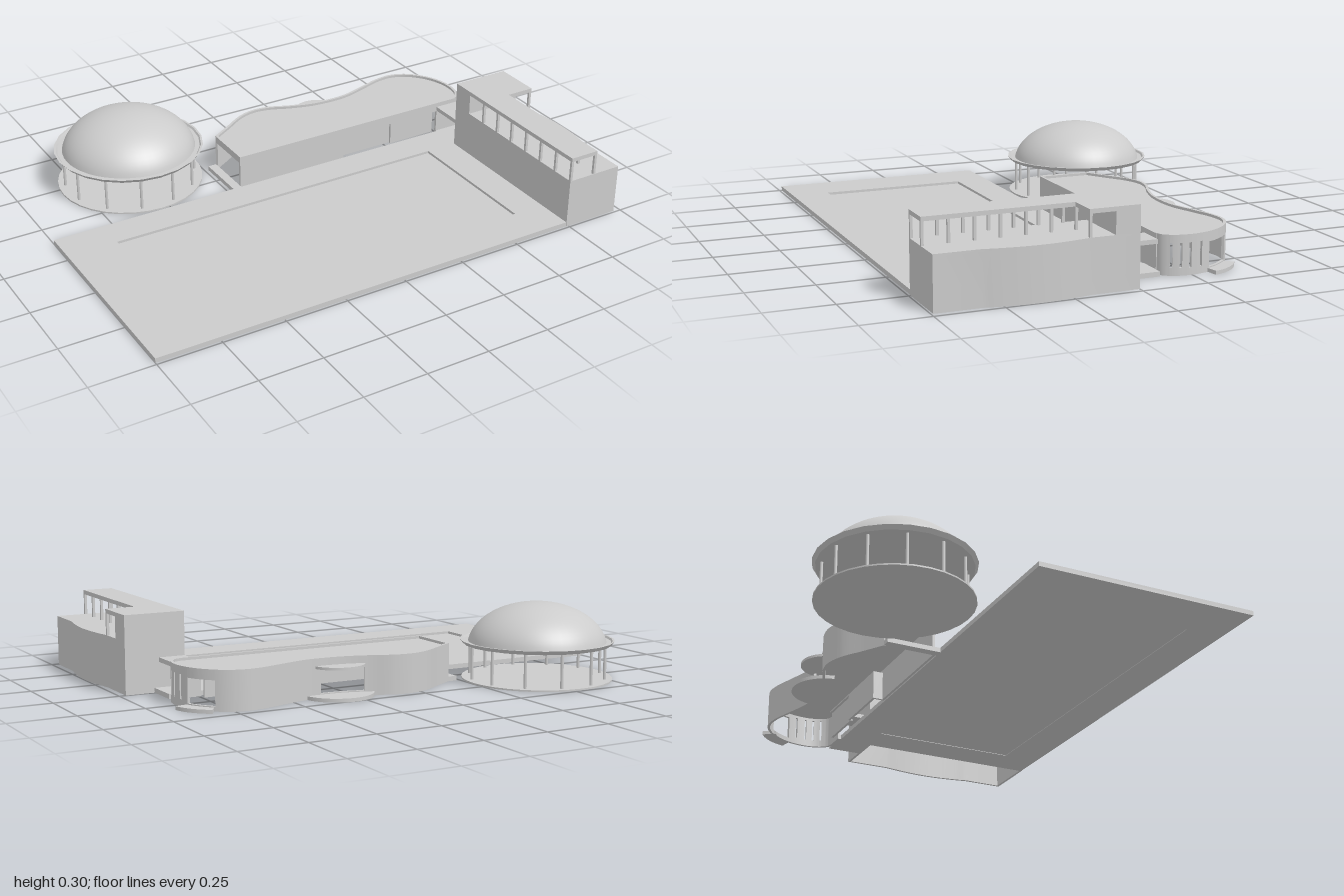
import * as THREE from 'three';
import { toCreasedNormals } from 'three/addons/utils/BufferGeometryUtils.js';

const mat = new THREE.MeshStandardMaterial({ color: 0xcccccc, side: THREE.DoubleSide });

function add(parent, name, geo, x = 0, y = 0, z = 0) {
  const m = new THREE.Mesh(geo, mat);
  m.name = name;
  m.position.set(x, y, z);
  parent.add(m);
  return m;
}

// Box given by its limits
function box(parent, name, x0, x1, y0, y1, z0, z1) {
  return add(parent, name, new THREE.BoxGeometry(x1 - x0, y1 - y0, z1 - z0),
    (x0 + x1) / 2, (y0 + y1) / 2, (z0 + z1) / 2);
}

// Floor plan of [x, z] points raised from y0 to y1
const plan = pts => pts.map(([x, z]) => new THREE.Vector2(x, -z));
function slab(parent, name, pts, y0, y1, hole) {
  const shape = new THREE.Shape(plan(pts));
  if (hole) shape.holes.push(new THREE.Path(plan(hole)));
  const geo = new THREE.ExtrudeGeometry(shape, { depth: y1 - y0, bevelEnabled: false });
  geo.rotateX(-Math.PI / 2);
  return add(parent, name, toCreasedNormals(geo, 0.5), 0, y0, 0);
}
const rect = (x0, x1, z0, z1) => [[x0, z0], [x1, z0], [x1, z1], [x0, z1]];

function group(parent, name) {
  const g = new THREE.Group();
  g.name = name;
  parent.add(g);
  return g;
}

// Paved terrace with a shallow sunken pool
function buildTerrace(root) {
  const g = group(root, 'terrace');
  slab(g, 'paving', rect(-1, 0.74, -0.13, 0.74), 0, 0.018, rect(-0.8, 0.61, 0, 0.59));
  box(g, 'poolFloor', -0.8, 0.61, 0.002, 0.008, 0, 0.59);
  box(g, 'sideLanding', -0.235, -0.2, 0, 0.018, -0.345, -0.13);
}

// Round pavilion: floor, ring of columns, rim and dome
function buildPavilion(root) {
  const g = group(root, 'pavilion');
  g.position.set(-0.535, 0, -0.45);
  add(g, 'pavilionFloor', new THREE.CylinderGeometry(0.29, 0.29, 0.006, 32), 0, 0.003, 0);
  for (let i = 0; i < 12; i++) {
    const a = (i + 0.5) * Math.PI / 6;
    add(g, 'column', new THREE.CylinderGeometry(0.006, 0.006, 0.134, 8),
      Math.cos(a) * 0.262, 0.072, Math.sin(a) * 0.262);
  }
  const rim = [[0, 0.137], [0.285, 0.137], [0.297, 0.152], [0.289, 0.152], [0.284, 0.145], [0.26, 0.145]];
  add(g, 'rim', toCreasedNormals(new THREE.LatheGeometry(rim.map(p => new THREE.Vector2(...p)), 24), 0.4));
  const dome = [];
  for (let i = 0; i <= 16; i++) {
    const h = 0.152 * Math.sin(i / 16 * Math.PI / 2);
    const ellipse = 0.265 * Math.cos(i / 16 * Math.PI / 2);
    const cap = Math.sqrt(Math.max(0, 0.307 ** 2 - (h + 0.155) ** 2));
    dome.push(new THREE.Vector2(i === 16 ? 0 : ellipse * 0.65 + cap * 0.35, 0.145 + h));
  }
  add(g, 'dome', new THREE.LatheGeometry(dome, 48));
}

// Low hall with a wavy rear wall and a rounded end
function buildHall(root) {
  const g = group(root, 'hall');
  const H = 0.148, T = 0.01, front = -0.135;
  const curve = new THREE.CatmullRomCurve3([
    [-0.2, -0.345], [-0.12, -0.395], [-0.03, -0.452], [0.04, -0.472], [0.11, -0.465], [0.2, -0.43],
    [0.3, -0.403], [0.44, -0.4], [0.55, -0.43], [0.65, -0.46], [0.72, -0.464], [0.79, -0.435],
    [0.855, -0.36], [0.884, -0.27], [0.877, -0.19], [0.85, -0.147], [0.82, front],
  ].map(([x, z]) => new THREE.Vector3(x, 0, z)));
  const N = 160;
  const outer = [], inner = [];
  for (let i = 0; i <= N; i++) {
    const p = curve.getPointAt(i / N), t = curve.getTangentAt(i / N);
    outer.push([p.x, p.z]);
    inner.push([p.x - t.z * T, p.z + t.x * T]);
  }
  // Index of the wall sample closest to a plan point
  const near = (x, z) => outer.reduce((best, p, i) =>
    Math.hypot(p[0] - x, p[1] - z) < Math.hypot(outer[best][0] - x, outer[best][1] - z) ? i : best, 0);
  const band = (name, i, j, y0, y1) => slab(g, name,
    [...outer.slice(i, j + 1), ...inner.slice(i, j + 1).reverse()], y0, y1);

  // Curved wall with doors and slot windows: [start, end, sill, head]
  const openings = [
    [near(0.22, -0.425), near(0.38, -0.4), 0.018, 0.11],
    [near(0.81, -0.425), near(0.872, -0.32), 0.018, 0.11],
    ...[-0.29, -0.25, -0.212, -0.175].map(z => {
      const i = near(0.88, z);
      return [i, i + 1, 0.028, 0.118];
    }),
  ];
  let at = 0;
  for (const [i, j, sill, head] of openings) {
    band('curvedWall', at, i, 0, H);
    band('sill', i, j, 0, sill);
    band('lintel', i, j, head, H);
    at = j;
  }
  band('curvedWall', at, N, 0, H);

  // Straight front wall with a recessed entrance
  box(g, 'frontWall', -0.2, 0.28, 0, H, front - T, front);
  box(g, 'frontLintel', 0.28, 0.74, 0.11, H, front - T, front);
  box(g, 'frontWallEnd', 0.74, 0.83, 0, H, front - T, front);
  box(g, 'recessSide', 0.27, 0.28, 0, 0.11, -0.185, front - T);
  box(g, 'recessBack', 0.27, 0.53, 0, 0.11, -0.185, -0.175);
  box(g, 'recessPanel', 0.53, 0.74, 0, 0.11, -0.175, -0.165);
  box(g, 'recessCeiling', 0.27, 0.74, 0.11, 0.116, -0.185, front - T);

  // Open end and sunken roof
  box(g, 'endLintel', -0.2, -0.19, 0.12, H, -0.34, front);
  slab(g, 'roof', [[-0.198, front - 0.002], ...outer.map(([x, z], i) =>
    [(x + inner[i][0]) / 2, (z + inner[i][1]) / 2])], 0.128, 0.138);

  // Half-round step and canopy at the rear door
  const arc = (cx, cz, r, a0, a1) => Array.from({ length: 21 }, (_, i) => {
    const a = a0 + (a1 - a0) * i / 20;
    return [cx + r * Math.cos(a), cz - r * Math.sin(a)];
  });
  slab(g, 'rearStep', arc(0.302, -0.372, 0.138, 0.15, Math.PI - 0.15), 0, 0.014);
  slab(g, 'rearCanopy', arc(0.302, -0.372, 0.105, 0.2, Math.PI - 0.2), 0.11, 0.12);

  // Curved step at the rounded end
  slab(g, 'endStep', [...arc(0.735, -0.29, 0.187, 0.2, 1.02), ...arc(0.735, -0.29, 0.13, 0.2, 1.02).reverse()], 0, 0.014);
}

// Tall wing with a bowed side wall and an open gallery on top
function buildWing(root) {
  const g = group(root, 'wing');
  const bow = [[0.975, 0.18]];
  for (let i = 1; i < 16; i++) {
    const t = i / 16;
    bow.push([0.975 + 0.022 * Math.sin(t * Math.PI), 0.18 + 0.39 * t]);
  }
  const outline = [[0.74, 0], [0.975, 0], ...bow, [0.973, 0.57], [0.973, 0.742], [0.74, 0.742]];
  const inside = [[0.75, 0.01], [0.965, 0.01], ...bow.map(([x, z]) => [x - 0.01, z]),
    [0.963, 0.57], [0.963, 0.732], [0.75, 0.732]];
  slab(g, 'lowerWalls', outline, 0, 0.19, inside);
  slab(g, 'galleryFloor', outline, 0.19, 0.198);
  box(g, 'stairBlock', 0.74, 0.975, 0.198, 0.28, 0, 0.092);
  slab(g, 'galleryRoof', [[0.74, 0], [0.975, 0], [0.975, 0.19], [0.86, 0.19], [0.86, 0.742], [0.74, 0.742]], 0.28, 0.296);

  // Gallery posts on both sides
  for (let i = 1; i <= 7; i++) {
    const z = 0.092 + i * 0.0921;
    for (const x of [0.745, 0.855]) box(g, 'galleryPost', x - 0.005, x + 0.005, 0.198, 0.28, z - 0.005, z + 0.005);
  }
  box(g, 'cornerPost', 0.965, 0.975, 0.198, 0.28, 0.179, 0.189);

  // Covered link between the wing and the hall
  box(g, 'linkFloor', 0.74, 0.862, 0, 0.018, -0.135, 0);
  box(g, 'linkRoof', 0.74, 0.842, 0.113, 0.13, -0.135, 0);
}

export function createModel() {
  const root = new THREE.Group();
  root.name = 'buildingComplex';
  buildTerrace(root);
  buildPavilion(root);
  buildHall(root);
  buildWing(root);
  return root;
}
